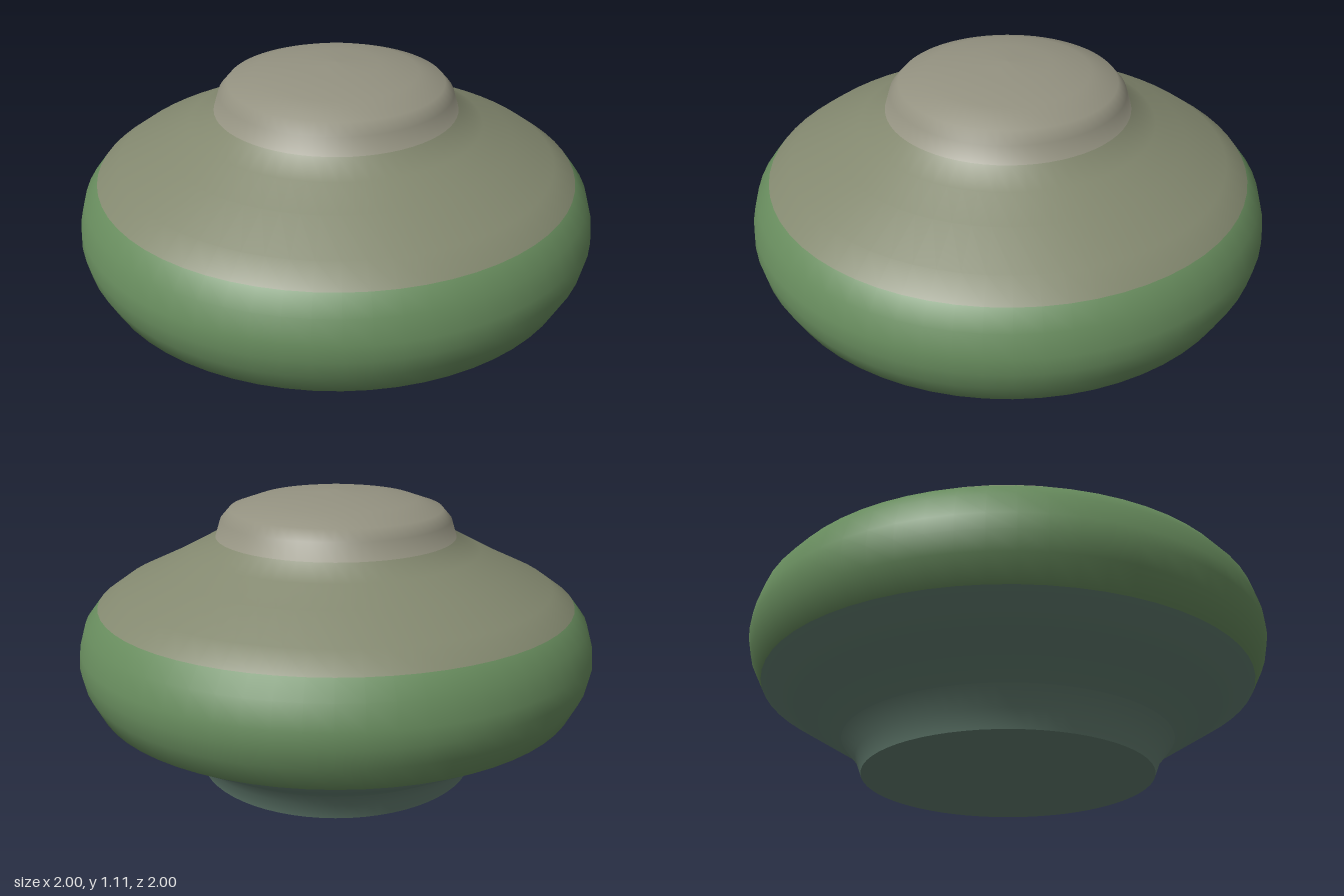
import * as THREE from 'three';

const SEGMENTS = 64;

// Outer profile [radius, height], from the foot up to the top of the lid
const PROFILE = [
  [0.55, 0], [0.575, 0.065], [0.63, 0.13], [0.785, 0.225], [0.94, 0.32],
  [0.985, 0.41], [1, 0.48], [0.995, 0.54], [0.97, 0.625], [0.92, 0.69],
  [0.835, 0.75], [0.675, 0.825], [0.56, 0.885], [0.465, 0.935],
  [0.445, 1.0], [0.41, 1.04], [0.31, 1.075], [0.165, 1.1], [0, 1.107],
].map(([r, y]) => new THREE.Vector2(r, y));

// Glaze bands: name, first and last profile point, colour
const BANDS = [
  ['foot', 0, 2, 0x637d70],
  ['lowerBody', 2, 4, 0x5f7a6d],
  ['belly', 4, 9, 0x668a5c],
  ['shoulder', 9, 13, 0x83886f],
  ['lid', 13, 18, 0x939180],
];

// Keep one band of the whole turned body, so normals stay smooth across bands
function bandGeometry(first, last) {
  const geometry = new THREE.LatheGeometry(PROFILE, SEGMENTS);
  const source = geometry.index.array;
  const rows = PROFILE.length;
  const kept = [];
  for (let i = 0; i < source.length; i += 3) {
    const tri = [source[i], source[i + 1], source[i + 2]];
    if (tri.every((v) => v % rows >= first && v % rows <= last)) kept.push(...tri);
  }
  geometry.setIndex(kept);
  return geometry;
}

export function createModel() {
  const model = new THREE.Group();
  model.name = 'lowVase';

  const add = (name, geometry, color) => {
    const mesh = new THREE.Mesh(geometry, new THREE.MeshStandardMaterial({ color }));
    mesh.name = name;
    model.add(mesh);
  };

  for (const [name, first, last, color] of BANDS) {
    add(name, bandGeometry(first, last), color);
  }

  // Flat underside with a sharp rim
  add('base', new THREE.CircleGeometry(0.55, SEGMENTS).rotateX(Math.PI / 2), 0x5f7a6d);

  return model;
}
